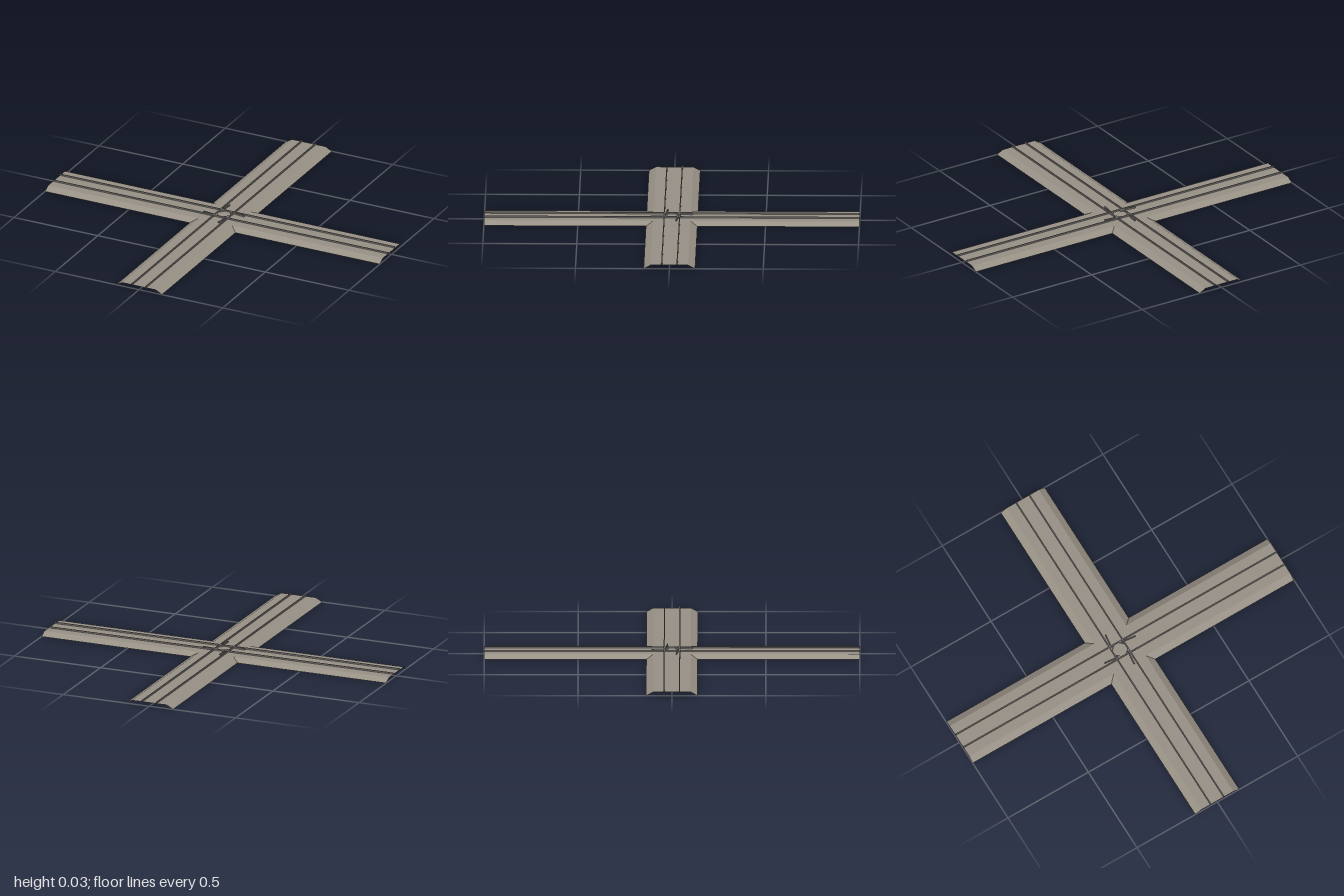
import * as THREE from 'three';

const TOP = 0.02, SHOULDER = 0.1, EDGE = 0.137, GAUGE = 0.041;
const RAIL_W = 0.006, RAIL_H = 0.008, RAIL_LIFT = 0.001;

export function createModel() {
  const model = new THREE.Group();
  const ballast = new THREE.MeshStandardMaterial({ color: 0x989186, side: THREE.DoubleSide, flatShading: true });
  ballast.name = 'ballast';
  const steel = new THREE.MeshStandardMaterial({ color: 0x7a7875 });
  steel.name = 'greySteel';

  // Open ballast shell of one arm, running along +z from the crossing
  const profile = [[-EDGE, 0], [-SHOULDER, TOP], [SHOULDER, TOP], [EDGE, 0]];
  const positions = [], index = [];
  for (const z of [SHOULDER, 1]) for (const [x, y] of profile) positions.push(x, y, z);
  for (let i = 0; i < 3; i++) index.push(i, i + 4, i + 1, i + 1, i + 4, i + 5);
  const armShape = new THREE.BufferGeometry();
  armShape.setAttribute('position', new THREE.Float32BufferAttribute(positions, 3));
  armShape.setIndex(index);
  armShape.computeVertexNormals();

  // Flat bed in the middle
  const middle = new THREE.Mesh(new THREE.PlaneGeometry(2 * SHOULDER, 2 * SHOULDER), ballast);
  middle.name = 'crossingBed';
  middle.rotation.x = -Math.PI / 2;
  middle.position.y = TOP;
  model.add(middle);

  // Straight piece of rail between two ground points
  function rail(name, x1, z1, x2, z2, parent) {
    const length = Math.hypot(x2 - x1, z2 - z1);
    const mesh = new THREE.Mesh(new THREE.BoxGeometry(RAIL_W, RAIL_H, length), steel);
    mesh.name = name;
    mesh.position.set((x1 + x2) / 2, TOP + RAIL_LIFT + RAIL_H / 2, (z1 + z2) / 2);
    mesh.rotation.y = Math.atan2(x2 - x1, z2 - z1);
    parent.add(mesh);
  }

  // Four arms, each with its bed and guard rails at the crossing
  for (let i = 0; i < 4; i++) {
    const arm = new THREE.Group();
    arm.name = 'trackArm';
    arm.rotation.y = i * Math.PI / 2;
    const bed = new THREE.Mesh(armShape, ballast);
    bed.name = 'ballastBed';
    arm.add(bed);
    rail('guardRail', 0.03, 0.05, 0.023, 0.11, arm);
    rail('innerGuard', 0.03, 0.05, 0.036, 0.02, arm);
    rail('cornerGuard', 0.018, 0.038, 0.038, 0.018, arm);
    model.add(arm);
  }

  // Two pairs of running rails crossing at right angles
  for (const side of [-GAUGE, GAUGE]) {
    rail('runningRail', side, -1, side, 1, model);
    rail('crossingRail', -1, side, 1, side, model);
  }
  return model;
}
